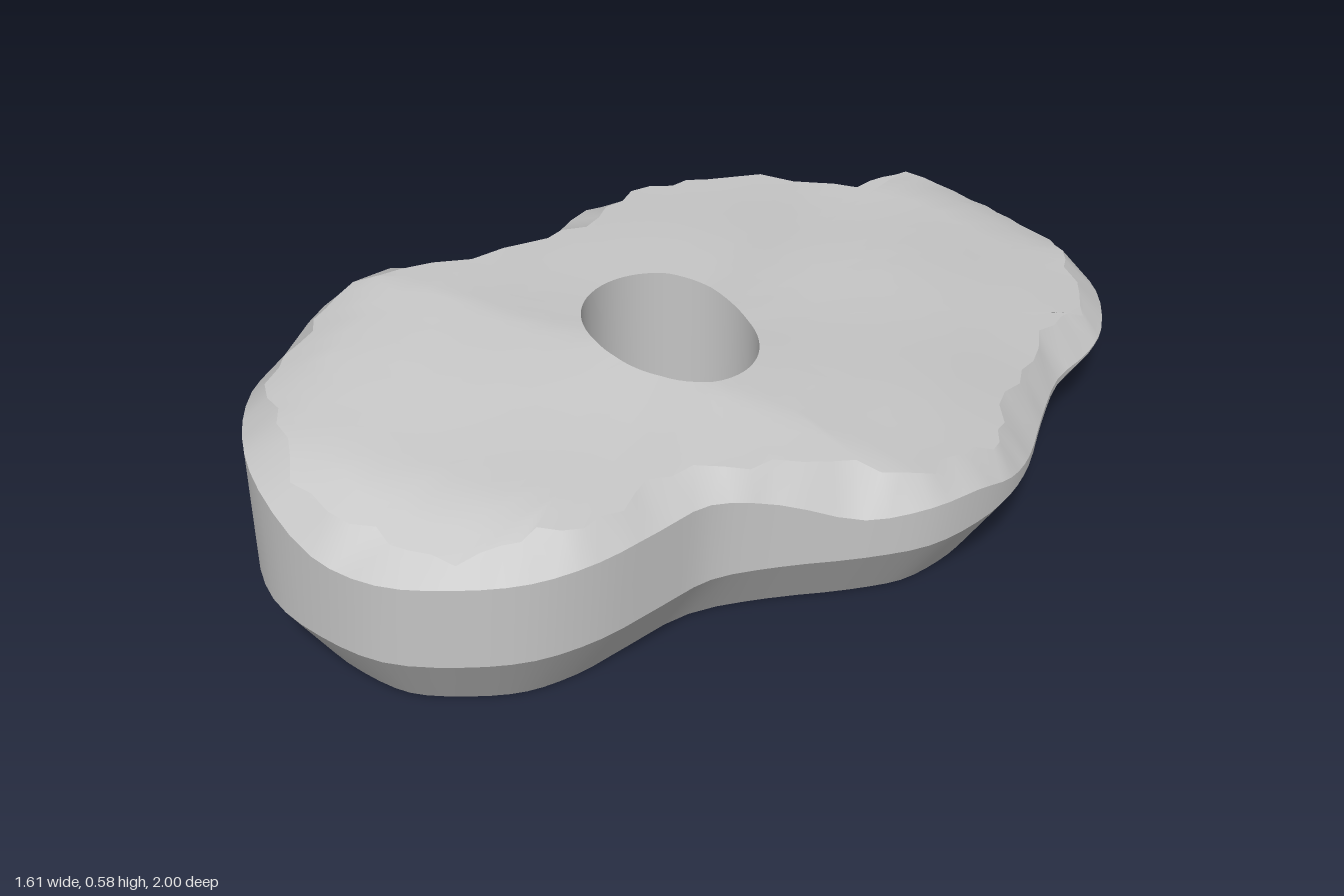
import * as THREE from 'three';

// Outline seen from above, clockwise: x, z, height of the side wall
const OUTLINE = [
  [0.46, -1.0, 0.22], [0.58, -0.98, 0.2], [0.69, -0.92, 0.18], [0.77, -0.81, 0.17],
  [0.805, -0.65, 0.16], [0.79, -0.53, 0.16], [0.74, -0.37, 0.17], [0.73, -0.2, 0.17],
  [0.73, -0.02, 0.18], [0.71, 0.1, 0.2], [0.66, 0.22, 0.24], [0.58, 0.33, 0.25],
  [0.46, 0.41, 0.25], [0.3, 0.49, 0.31], [0.18, 0.57, 0.34], [0.11, 0.68, 0.34],
  [0.03, 0.81, 0.34], [-0.07, 0.91, 0.34], [-0.2, 0.97, 0.34], [-0.35, 0.998, 0.34],
  [-0.5, 0.96, 0.35], [-0.64, 0.88, 0.42], [-0.74, 0.75, 0.44], [-0.8, 0.59, 0.44],
  [-0.8, 0.45, 0.44], [-0.76, 0.32, 0.5], [-0.66, 0.19, 0.54], [-0.48, 0.04, 0.47],
  [-0.42, -0.1, 0.48], [-0.37, -0.26, 0.5], [-0.3, -0.41, 0.45], [-0.2, -0.54, 0.46],
  [0, -0.67, 0.4], [0.11, -0.77, 0.33], [0.2, -0.87, 0.31], [0.31, -0.96, 0.26],
];
// Slope of the top along x: x, y
const SLOPE = [
  [-0.8, 0.53], [-0.65, 0.58], [-0.5, 0.573], [-0.35, 0.535], [-0.1, 0.5], [0, 0.475],
  [0.1, 0.437], [0.3, 0.395], [0.5, 0.322], [0.7, 0.24], [0.8, 0.18],
];
const N = 108;
const HOLE = { x: -0.035, z: 0.15, r: 0.19 };

// Height of the uneven top at a point, falling away towards both ends
function topHeight(x, z) {
  let k = 0;
  while (k < SLOPE.length - 2 && x > SLOPE[k + 1][0]) k++;
  const [x0, y0] = SLOPE[k], [x1, y1] = SLOPE[k + 1];
  const y = y0 + (y1 - y0) * THREE.MathUtils.clamp((x - x0) / (x1 - x0), 0, 1);
  const fall = 0.18 * Math.max(0, z - 0.3) + 0.3 * Math.max(0, z - 0.8) + 0.4 * Math.max(0, -z - 0.85);
  return y - fall + 0.005 * Math.sin(9 * x + 4 * z) * Math.sin(8 * z - 3 * x);
}

// Surface through a list of closed rings of N points each
function loft(name, rings, material) {
  const index = [];
  for (let r = 0; r < rings.length - 1; r++) {
    for (let i = 0; i < N; i++) {
      const j = (i + 1) % N, a = r * N, b = a + N;
      index.push(a + i, b + i, a + j, b + i, b + j, a + j);
    }
  }
  const geometry = new THREE.BufferGeometry().setFromPoints(rings.flat());
  geometry.setIndex(index);
  geometry.computeVertexNormals();
  const mesh = new THREE.Mesh(geometry, material);
  mesh.name = name;
  return mesh;
}

export function createModel() {
  const group = new THREE.Group();
  group.name = 'piercedStone';
  const stone = new THREE.MeshStandardMaterial({ color: 0xc4c4c4 });
  stone.name = 'stone grey';

  const curve = new THREE.CatmullRomCurve3(
    OUTLINE.map(([x, z, y]) => new THREE.Vector3(x, y, z)), true, 'centripetal');
  const rim = curve.getPoints(N).slice(0, N);

  // Rim moved inward by a distance that may vary along it
  const inset = (distance, height) => rim.map((p, i) => {
    const a = rim[(i + N - 1) % N], b = rim[(i + 1) % N];
    const tx = b.x - a.x, tz = b.z - a.z, d = distance(i) / Math.hypot(tx, tz);
    const x = p.x - tz * d, z = p.z + tx * d;
    return new THREE.Vector3(x, height(x, z), z);
  });
  // Circle of the hole, matched to the rim by direction
  const holeRing = (height) => rim.map((p) => {
    const angle = Math.atan2(p.z - HOLE.z, p.x - HOLE.x);
    const x = HOLE.x + HOLE.r * Math.cos(angle), z = HOLE.z + HOLE.r * Math.sin(angle);
    return new THREE.Vector3(x, height(x, z), z);
  });

  const foot = inset(() => 0.097, () => 0);
  const waist = inset(() => 0, () => 0.155);
  const shoulder = inset((i) => 0.065 + 0.015 * Math.sin(i * 0.9) + 0.01 * Math.sin(i * 2.3), topHeight);
  const holeBottom = holeRing(() => 0);
  const holeTop = holeRing(topHeight);

  // Rings across the top from the shoulder to the hole
  const top = [shoulder];
  const steps = 10;
  for (let s = 1; s < steps; s++) {
    top.push(shoulder.map((p, i) => {
      const q = p.clone().lerp(holeTop[i], s / steps);
      q.y = topHeight(q.x, q.z);
      return q;
    }));
  }
  top.push(holeTop);

  group.add(
    loft('underside', [holeBottom, foot], stone),
    loft('lowerBevel', [foot, waist], stone),
    loft('sideWall', [waist, rim], stone),
    loft('chippedEdge', [rim, shoulder], stone),
    loft('unevenTop', top, stone),
    loft('holeWall', [holeTop, holeBottom], stone),
  );
  return group;
}
